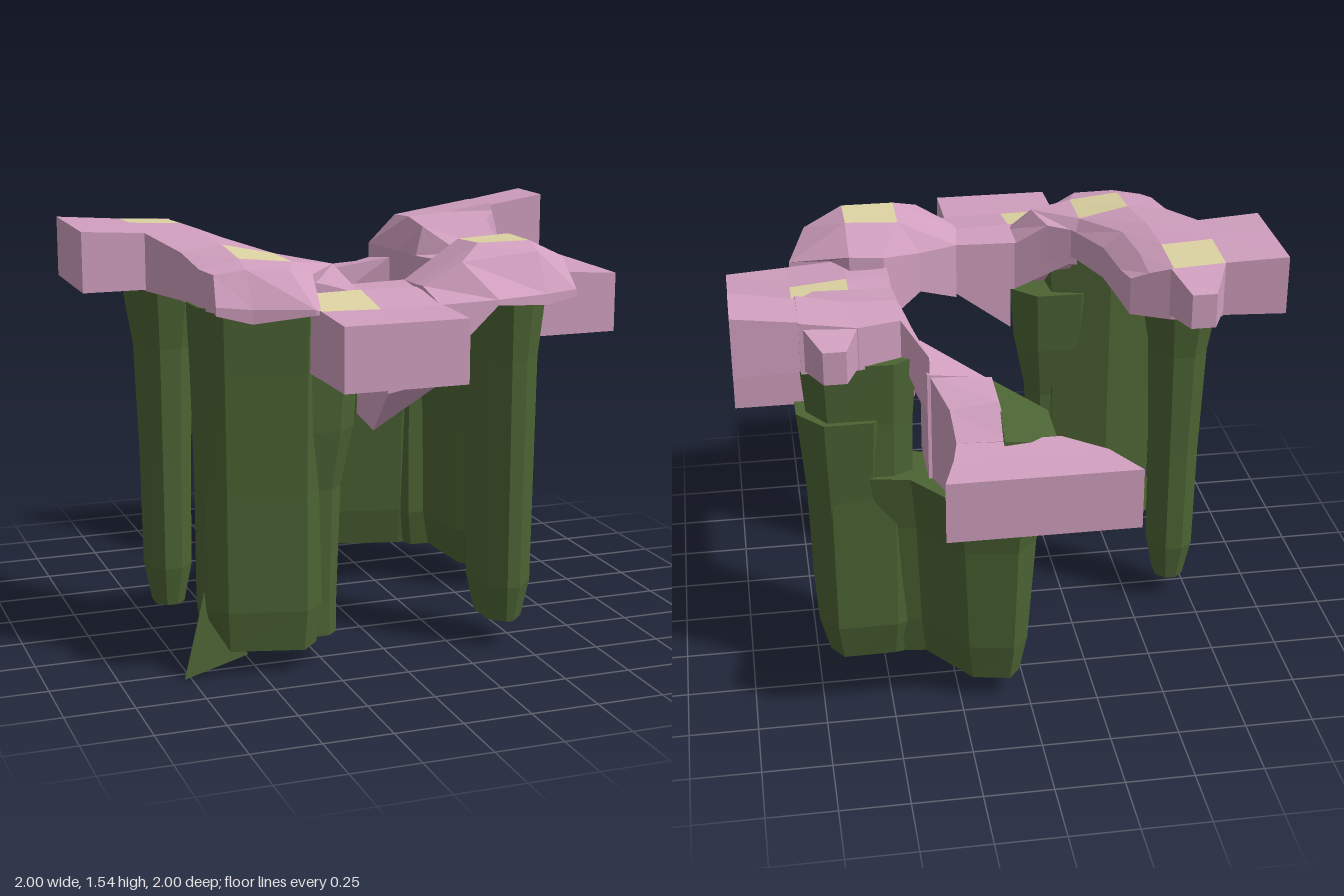
import * as THREE from 'three';

const mat = (name, color) => {
  const m = new THREE.MeshStandardMaterial({ color, flatShading: true });
  m.name = name;
  return m;
};

export function createModel() {
  const group = new THREE.Group();
  const pink = mat('blossom pink', 0xd09fbe);
  const yellow = mat('pollen yellow', 0xdcd2a2);
  const green = mat('vine green', 0x4c6434);

  const build = (name, lists, materials) => {
    const geo = new THREE.BufferGeometry();
    geo.setAttribute('position', new THREE.Float32BufferAttribute(lists.flat(2), 3));
    let start = 0;
    lists.forEach((l, i) => { geo.addGroup(start, l.length, i); start += l.length; });
    geo.computeVertexNormals();
    const mesh = new THREE.Mesh(geo, materials);
    mesh.name = name;
    group.add(mesh);
  };
  const quad = (out, a, b, c, d) => out.push(a, b, c, a, c, d);

  // Faceted slab: rows run back to front, points are [x, z, top] or [x, z, top, bottom]
  const slab = (name, bottom, rows, spots = [], main = pink) => {
    const top = rows.map(r => r.map(p => [p[0], p[2], p[1]]));
    const bot = rows.map(r => r.map(p => [p[0], p[3] ?? bottom, p[1]]));
    const R = rows.length - 1, C = rows[0].length - 1;
    const base = [], spot = [], rim = [];
    for (let r = 0; r < R; r++) for (let c = 0; c < C; c++) {
      quad(spots.includes(`${r},${c}`) ? spot : base, top[r][c], top[r + 1][c], top[r + 1][c + 1], top[r][c + 1]);
      quad(base, bot[r][c], bot[r][c + 1], bot[r + 1][c + 1], bot[r + 1][c]);
    }
    for (let r = 0; r < R; r++) rim.push([r, 0]);
    for (let c = 0; c < C; c++) rim.push([R, c]);
    for (let r = R; r > 0; r--) rim.push([r, C]);
    for (let c = C; c > 0; c--) rim.push([0, c]);
    rim.forEach(([r, c], i) => {
      const [s, t] = rim[(i + 1) % rim.length];
      quad(base, bot[r][c], bot[s][t], top[s][t], top[r][c]);
    });
    build(name, [base, spot], [main, yellow]);
  };

  // Hanging vine: [x, z] outline, pushed outward by [y, grow] levels from the bottom up
  const vine = (name, outline, levels) => {
    const pts = outline.map(p => new THREE.Vector2(...p)), n = pts.length, out = [];
    const push = pts.map((p, i) => {
      const side = (a, b) => new THREE.Vector2(a.y - b.y, b.x - a.x).normalize();
      return side(pts[(i + n - 1) % n], p).add(side(p, pts[(i + 1) % n])).normalize();
    });
    const rings = levels.map(([y, g]) => pts.map((p, i) => [p.x + push[i].x * g, y, p.y + push[i].y * g]));
    const last = rings.length - 1;
    for (let k = 0; k < last; k++) for (let i = 0; i < n; i++) {
      const j = (i + 1) % n;
      quad(out, rings[k][i], rings[k][j], rings[k + 1][j], rings[k + 1][i]);
    }
    for (const [a, b, c] of THREE.ShapeUtils.triangulateShape(pts, [])) {
      const turn = (pts[b].x - pts[a].x) * (pts[c].y - pts[a].y) - (pts[b].y - pts[a].y) * (pts[c].x - pts[a].x);
      const [u, v] = turn > 0 ? [b, c] : [c, b];
      out.push(rings[0][a], rings[0][u], rings[0][v], rings[last][a], rings[last][v], rings[last][u]);
    }
    build(name, [out], [green]);
  };
  const post = (x0, x1, z0, z1, c) => [[x0, z0 + c], [x0, z1 - c], [x0 + c, z1], [x1 - c, z1],
    [x1, z1 - c], [x1, z0 + c], [x1 - c, z0], [x0 + c, z0]];

  // Left arm of the canopy with its flange and bud
  slab('leftFlange', 1.335, [
    [[-1, -0.33, 1.555], [-0.77, -0.31, 1.54]],
    [[-1, -0.11, 1.555], [-0.77, -0.11, 1.55]],
    [[-1, 0.1, 1.555], [-0.77, 0.1, 1.54]],
  ]);
  slab('leftArm', 1.33, [
    [[-0.77, -0.31, 1.54], [-0.58, -0.31, 1.53], [-0.5, -0.27, 1.5], [-0.44, -0.24, 1.47]],
    [[-0.77, -0.11, 1.55], [-0.58, -0.11, 1.54], [-0.5, -0.11, 1.51], [-0.43, -0.11, 1.45]],
    [[-0.77, 0.1, 1.54], [-0.57, 0.1, 1.54], [-0.48, 0.1, 1.51], [-0.41, 0.1, 1.45]],
    [[-0.7, 0.33, 1.5], [-0.55, 0.33, 1.52], [-0.36, 0.33, 1.48], [-0.34, 0.29, 1.44]],
    [[-0.69, 0.53, 1.47], [-0.55, 0.53, 1.5, 1.29], [-0.36, 0.53, 1.48], [-0.2, 0.5, 1.46]],
    [[-0.66, 0.6, 1.46], [-0.55, 0.62, 1.475, 1.29], [-0.4, 0.64, 1.465], [-0.3, 0.58, 1.44]],
    [[-0.67, 0.66, 1.36], [-0.55, 0.69, 1.35, 1.3], [-0.35, 0.76, 1.35], [-0.33, 0.76, 1.34]],
  ], ['0,0', '3,1']);
  slab('leftBud', 1.35, [
    [[-0.71, -0.44, 1.48], [-0.62, -0.44, 1.48]],
    [[-0.77, -0.31, 1.54], [-0.57, -0.31, 1.53]],
  ]);

  // Low bridge across the front, with a point drooping beneath it
  slab('bridgeStep', 1.3, [
    [[-0.35, 0.3, 1.44], [-0.24, 0.35, 1.45], [-0.12, 0.4, 1.36]],
    [[-0.35, 0.5, 1.47], [-0.2, 0.5, 1.46], [-0.12, 0.53, 1.37]],
    [[-0.34, 0.57, 1.42], [-0.25, 0.57, 1.4], [-0.12, 0.57, 1.36]],
  ]);
  slab('frontBridge', 1.11, [
    [[-0.34, 0.31, 1.36, 1.31], [-0.12, 0.4, 1.365, 1.17], [0.11, 0.4, 1.37, 1.17]],
    [[-0.34, 0.57, 1.37], [-0.12, 0.57, 1.375], [0.13, 0.56, 1.37]],
    [[-0.335, 0.77, 1.345], [-0.12, 0.77, 1.34], [0.11, 0.77, 1.34]],
    [[-0.335, 1, 1.335], [-0.12, 1, 1.335], [0.11, 1, 1.335]],
  ], ['1,0']);
  slab('bridgeDroop', 1.1, [
    [[-0.13, 0.56, 1.13, 0.93], [0.1, 0.56, 1.13]],
    [[-0.12, 0.7, 1.13, 0.9], [0.1, 0.7, 1.13]],
    [[-0.12, 0.84, 1.13, 1.06], [0.1, 0.84, 1.13]],
  ]);

  // Front right lobe
  slab('rightLobe', 1.32, [
    [[0.26, 0.32, 1.38, 1.22], [0.41, 0.2, 1.42, 1.15], [0.54, 0.2, 1.43, 1.15], [0.6, 0.32, 1.37]],
    [[0.11, 0.4, 1.37, 1.15], [0.34, 0.35, 1.5], [0.54, 0.35, 1.51], [0.76, 0.33, 1.37]],
    [[0.09, 0.55, 1.38, 1.12], [0.34, 0.53, 1.51], [0.54, 0.53, 1.51], [0.69, 0.5, 1.44]],
    [[0.1, 0.6, 1.38, 1.12], [0.24, 0.62, 1.46], [0.54, 0.6, 1.48], [0.67, 0.57, 1.42]],
    [[0.1, 0.765, 1.34, 1.12], [0.33, 0.74, 1.34], [0.54, 0.69, 1.34, 1.3], [0.67, 0.66, 1.345]],
  ], ['1,1']);

  // Low right side and the raised corner behind it
  slab('rightArm', 1.11, [
    [[0.36, -0.34, 1.35], [0.56, -0.34, 1.36], [0.78, -0.34, 1.34], [1, -0.34, 1.335]],
    [[0.4, -0.1, 1.36], [0.56, -0.1, 1.375, 1.06], [0.77, -0.1, 1.36, 1.05], [1, -0.1, 1.335]],
    [[0.4, 0.12, 1.38], [0.56, 0.12, 1.38, 1.08], [0.77, 0.12, 1.36, 1.07], [1, 0.12, 1.335]],
    [[0.4, 0.27, 1.38, 1.15], [0.56, 0.33, 1.37], [0.77, 0.33, 1.35], [1, 0.33, 1.335]],
  ], ['1,1']);
  slab('cornerLobe', 1.33, [
    [[0.33, -0.55, 1.36, 1.12], [0.42, -0.49, 1.48], [0.57, -0.55, 1.49], [0.77, -0.55, 1.52]],
    [[0.36, -0.32, 1.36, 1.12], [0.42, -0.34, 1.49], [0.6, -0.35, 1.5], [0.77, -0.34, 1.53]],
    [[0.39, -0.18, 1.36], [0.42, -0.19, 1.47], [0.7, -0.2, 1.48], [0.78, -0.33, 1.5]],
    [[0.4, -0.11, 1.35], [0.56, -0.08, 1.36], [0.73, -0.1, 1.36], [0.82, -0.34, 1.36]],
  ]);
  slab('rightFlange', 1.335, [
    [[0.77, -0.54, 1.52], [1, -0.555, 1.555]],
    [[0.77, -0.34, 1.52], [1, -0.34, 1.555]],
  ]);
  slab('rightBud', 1.34, [
    [[0.62, -0.665, 1.46], [0.7, -0.665, 1.46]],
    [[0.57, -0.54, 1.49], [0.76, -0.54, 1.5]],
  ]);

  // Drooping back end
  slab('backLink', 0.88, [
    [[-0.02, -0.57, 1.15], [0.13, -0.53, 1.26], [0.34, -0.56, 1.3]],
    [[0, -0.44, 1.06], [0.15, -0.4, 1.18, 0.86], [0.34, -0.34, 1.33, 0.9]],
  ]);
  slab('backStrip', 0.89, [
    [[0.09, -0.8, 1.15], [0.27, -0.79, 1.15]],
    [[0.11, -0.7, 1.25], [0.28, -0.7, 1.23]],
    [[0.11, -0.53, 1.26], [0.33, -0.55, 1.29]],
  ]);
  slab('backPlate', 0.89, [
    [[-0.335, -1, 1.115], [0.335, -1, 1.115]],
    [[-0.24, -0.87, 1.13], [0.29, -0.87, 1.13]],
    [[-0.09, -0.79, 1.15, 0.86], [0.27, -0.79, 1.15, 0.86]],
  ]);
  slab('vineCrown', 0.86, [
    [[-0.08, -0.8, 1.13], [0.11, -0.82, 1.16]],
    [[-0.06, -0.69, 1.2], [0.11, -0.69, 1.25]],
    [[-0.04, -0.57, 1.16], [0.12, -0.54, 1.26]],
  ], [], green);
  slab('backSpot', 0.89, [
    [[-0.084, -0.66, 1.0], [-0.076, -0.66, 1.0]],
    [[-0.064, -0.52, 0.93], [-0.056, -0.52, 0.93]],
  ], [], yellow);

  // Hanging vines
  vine('frontRightVine', post(0.35, 0.54, 0.38, 0.67, 0.07), [[0.11, -0.03], [0.25, 0], [0.67, 0.005], [1.1, 0.01], [1.33, 0.035]]);
  vine('leftVine', post(-0.755, -0.59, -0.15, 0.04, 0.05), [[0.1, -0.03], [0.25, 0], [0.67, 0.005], [1.1, 0.02], [1.34, 0.06]]);
  vine('frontLeftVine', [[-0.69, 0.42], [-0.68, 0.53], [-0.62, 0.59], [-0.35, 0.66], [-0.27, 0.58], [-0.28, 0.42], [-0.5, 0.37]],
    [[0.1, -0.02], [0.25, 0], [0.67, 0], [1.1, 0.01], [1.34, 0.02]]);
  vine('frontLeftVineEdge', post(-0.4, -0.2, 0.45, 0.58, 0.04), [[0.12, 0], [0.25, 0], [0.67, 0.015], [0.89, 0.06], [1.14, 0.08]]);
  vine('rightVine', [[0.5, -0.42], [0.52, -0.08], [0.6, 0], [0.68, 0], [0.745, -0.08], [0.745, -0.42], [0.68, -0.5], [0.55, -0.5]],
    [[0.1, -0.04], [0.25, 0], [0.67, 0.01], [0.89, 0.03], [1.12, 0.05]]);
  vine('cornerVine', [[0.4, -0.48], [0.44, -0.36], [0.7, -0.34], [0.74, -0.42], [0.68, -0.51], [0.46, -0.51]],
    [[0.1, -0.04], [0.25, 0], [1.1, 0.015], [1.34, 0.035]]);
  vine('backVine', [[0, -0.66], [0, -0.55], [0.06, -0.5], [0.42, -0.41], [0.52, -0.41], [0.5, -0.48], [0.37, -0.5], [0.22, -0.7], [0.06, -0.73]],
    [[0.1, -0.03], [0.25, 0], [0.67, 0.03], [0.89, 0.07]]);

  // Torn tip at the foot of the front left vine
  const [a, f, k, t] = [[-0.68, 0.32, 0.5], [-0.55, 0.09, 0.59], [-0.62, 0.1, 0.41], [-0.775, 0.01, 0.555]];
  build('vineTip', [[a, t, f, a, k, t, t, k, f]], [green]);

  return group;
}
